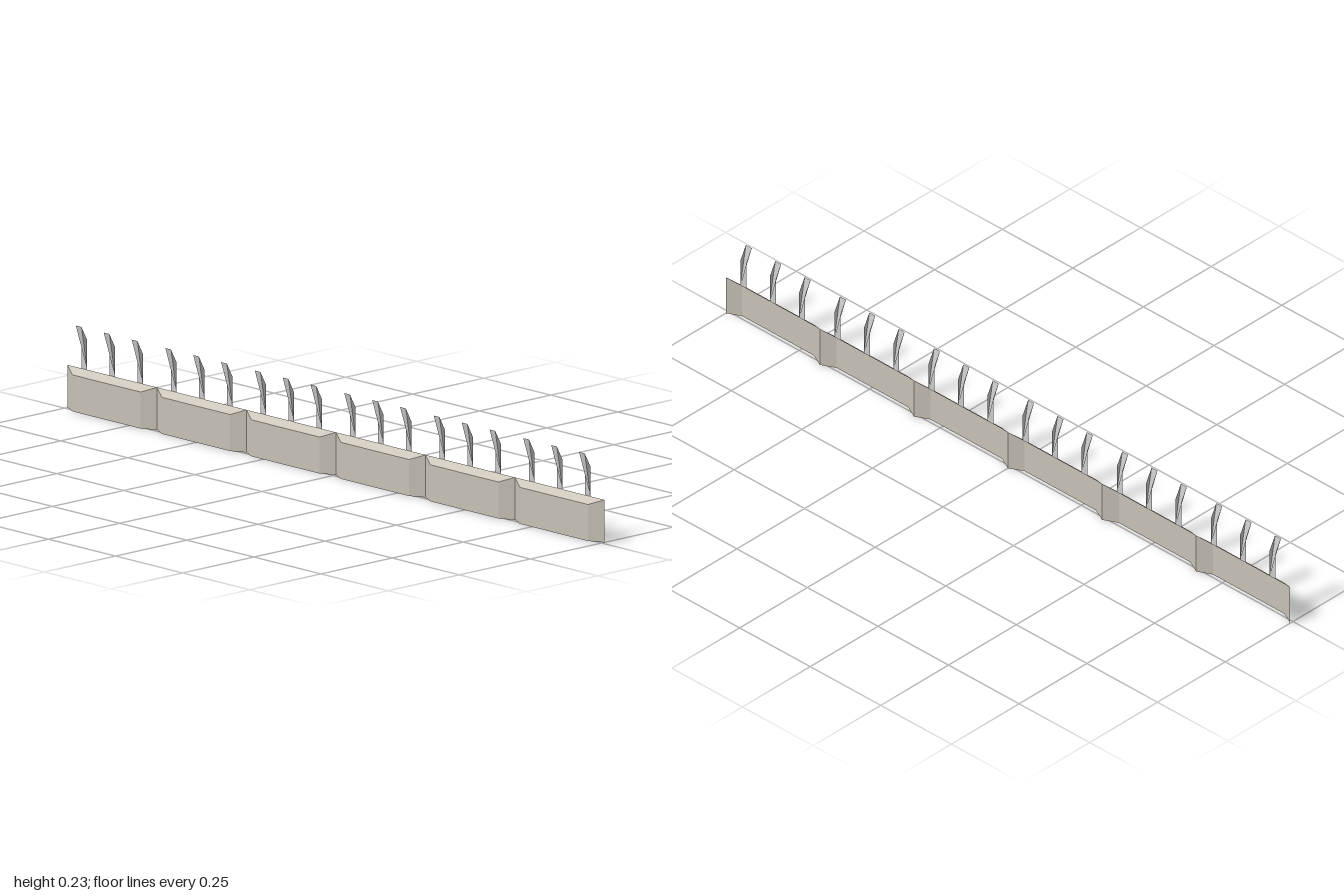
import * as THREE from 'three';

const BLOCKS = 6, PITCH = 2 / BLOCKS;
const BACK = -0.01, FRONT = 0.01;

// Faceted, open surface from corner points and triangles
function surface(points, triangles) {
  const indexed = new THREE.BufferGeometry();
  indexed.setAttribute('position', new THREE.Float32BufferAttribute(points.flat(), 3));
  indexed.setIndex(triangles.flat());
  const geometry = indexed.toNonIndexed();
  geometry.computeVertexNormals();
  return geometry;
}

// Thin shell, open at back and bottom: front, chamfered ends and sloping top
function shellGeometry() {
  const w = PITCH / 2, f = w - 0.04, topBack = 0.112, topFront = 0.096;
  return surface([
    [-w, 0, BACK], [-f, 0, FRONT], [f, 0, FRONT], [w, 0, BACK],
    [-w, topBack, BACK], [-f, topFront, FRONT], [f, topFront, FRONT], [w, topBack, BACK],
  ], [
    [0, 1, 5], [0, 5, 4], // left-hand end on the -x side
    [1, 2, 6], [1, 6, 5], // front
    [2, 3, 7], [2, 7, 6], // end on the +x side
    [4, 5, 6], [4, 6, 7], // top slope
  ]);
}

// Bent blade, its facets fanned out from one bottom corner
function spikeGeometry() {
  const h = 0.0105;
  return surface([
    [h, 0.112, BACK], [h, 0.19, BACK], [h, 0.228, FRONT],
    [-h, 0.228, FRONT], [-h, 0.19, BACK], [-h, 0.112, BACK],
  ], [[0, 1, 2], [0, 2, 3], [0, 3, 4], [0, 4, 5]]);
}

export function createModel() {
  const model = new THREE.Group();
  model.name = 'spikedStrip';
  const shellMaterial = new THREE.MeshStandardMaterial({ color: 0xc8c2b6, side: THREE.DoubleSide, flatShading: true });
  const spikeMaterial = new THREE.MeshStandardMaterial({ color: 0xcccccc, side: THREE.DoubleSide, flatShading: true });
  const shell = shellGeometry(), spike = spikeGeometry();

  for (let i = 0; i < BLOCKS; i++) {
    const section = new THREE.Group();
    section.name = `section${i + 1}`;
    section.position.x = -1 + PITCH * (i + 0.5);

    const block = new THREE.Mesh(shell, shellMaterial);
    block.name = 'block';
    section.add(block);

    // Three spikes on the back edge of each block
    for (const x of [-0.104, 0, 0.104]) {
      const blade = new THREE.Mesh(spike, spikeMaterial);
      blade.name = 'spike';
      blade.position.x = x;
      section.add(blade);
    }
    model.add(section);
  }
  return model;
}
